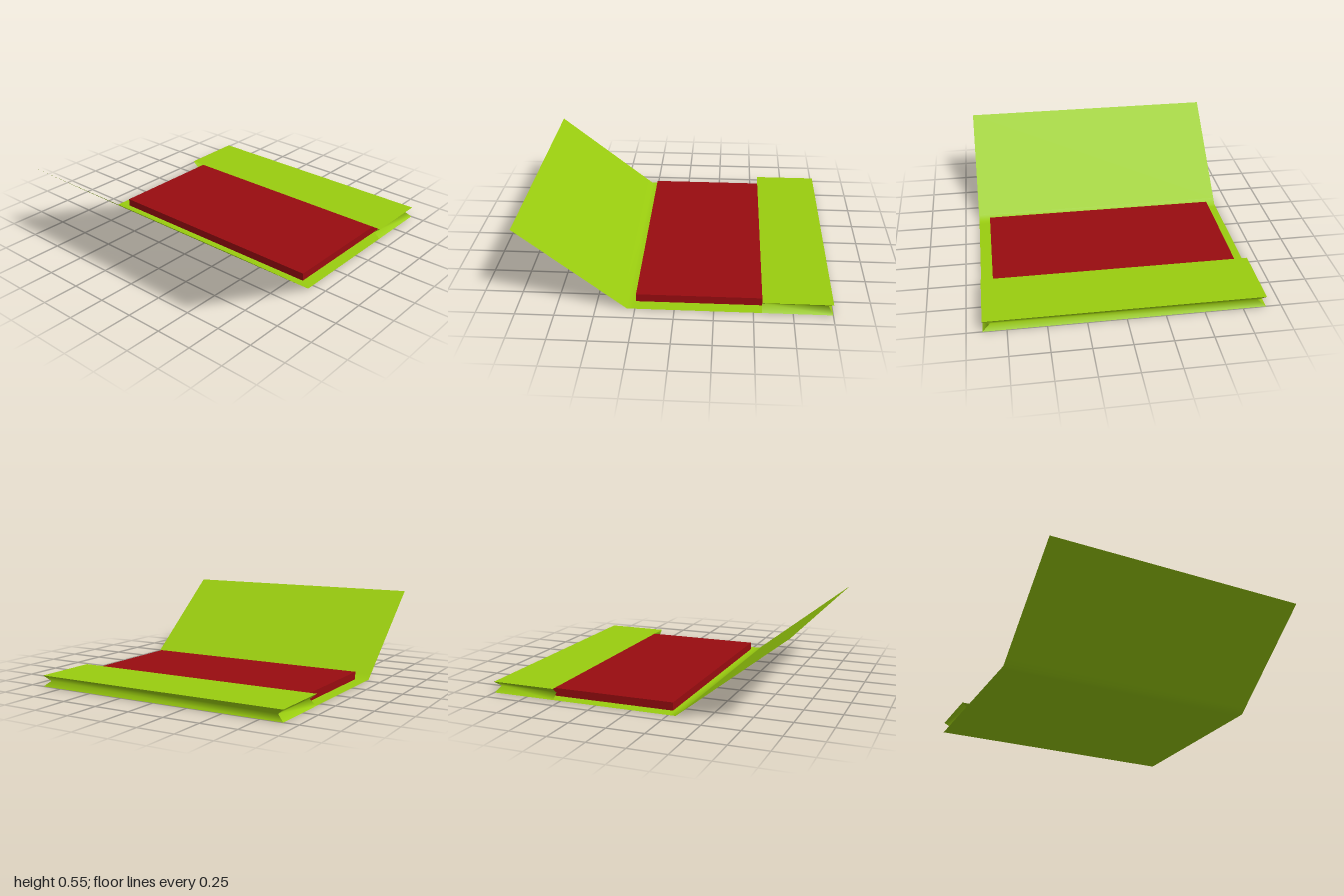
import * as THREE from 'three';

const W = 0.9;        // half length of the sheet along z
const H = 0.075;      // pocket height
const MOUTH = 0.555;  // x of the pocket opening

// Smooth surface through rows of points; all rows have equal length.
function loft(rows) {
  const n = rows[0].length, index = [];
  for (let i = 0; i < rows.length - 1; i++)
    for (let j = 0; j < n - 1; j++) {
      const a = i * n + j, b = a + n;
      index.push(a, a + 1, b, a + 1, b + 1, b);
    }
  const g = new THREE.BufferGeometry();
  g.setAttribute('position', new THREE.Float32BufferAttribute(rows.flat(2), 3));
  g.setIndex(index);
  g.computeVertexNormals();
  return g;
}

// Sheet swept along z from an x-y profile running left to right.
const sheet = (profile) => loft(profile.map(([x, y]) => [[x, y, -W], [x, y, W]]));

export function createModel() {
  const group = new THREE.Group();
  const green = new THREE.MeshStandardMaterial({ color: 0x9acd0f, side: THREE.DoubleSide });
  const red = new THREE.MeshStandardMaterial({ color: 0x990c10 });
  const add = (name, geometry, material) => {
    const mesh = new THREE.Mesh(geometry, material);
    mesh.name = name;
    group.add(mesh);
  };

  // Raised cover and flat base, one sheet with a soft fold
  add('coverSheet', sheet([[-1, 0.55], [-0.34, 0.031], [-0.3, 0], [-0.26, 0], [1, 0]]), green);

  // Flat top of the pocket
  add('pocketTop', sheet([[MOUTH, H], [1, H]]), green);

  // Inward-folded gussets closing the pocket's outer edge and both ends
  const levels = [[0, 0], [H / 2, 1], [H, 0]]; // height, amount of inward fold
  const inX = 0.027, inZ = 0.047;
  add('outerGusset', loft(levels.map(([y, f]) =>
    [[1 - inX * f, y, W - inZ * f], [1 - inX * f, y, -W + inZ * f]])), green);
  for (const s of [1, -1]) {
    const rows = levels.map(([y, f]) => {
      const z = s * (W - inZ * f);
      const row = [[MOUTH, y, z], [1 - inX * f, y, z]];
      return s > 0 ? row : row.reverse();
    });
    add(s > 0 ? 'frontGusset' : 'backGusset', loft(rows), green);
  }

  // Block of pages, tucked into the pocket and just clear of the base
  const x0 = -0.25, x1 = 0.95, y0 = 0.003, y1 = 0.056;
  const block = new THREE.BoxGeometry(x1 - x0, y1 - y0, 1.64);
  block.translate((x0 + x1) / 2, (y0 + y1) / 2, 0);
  add('pageBlock', block, red);

  return group;
}
